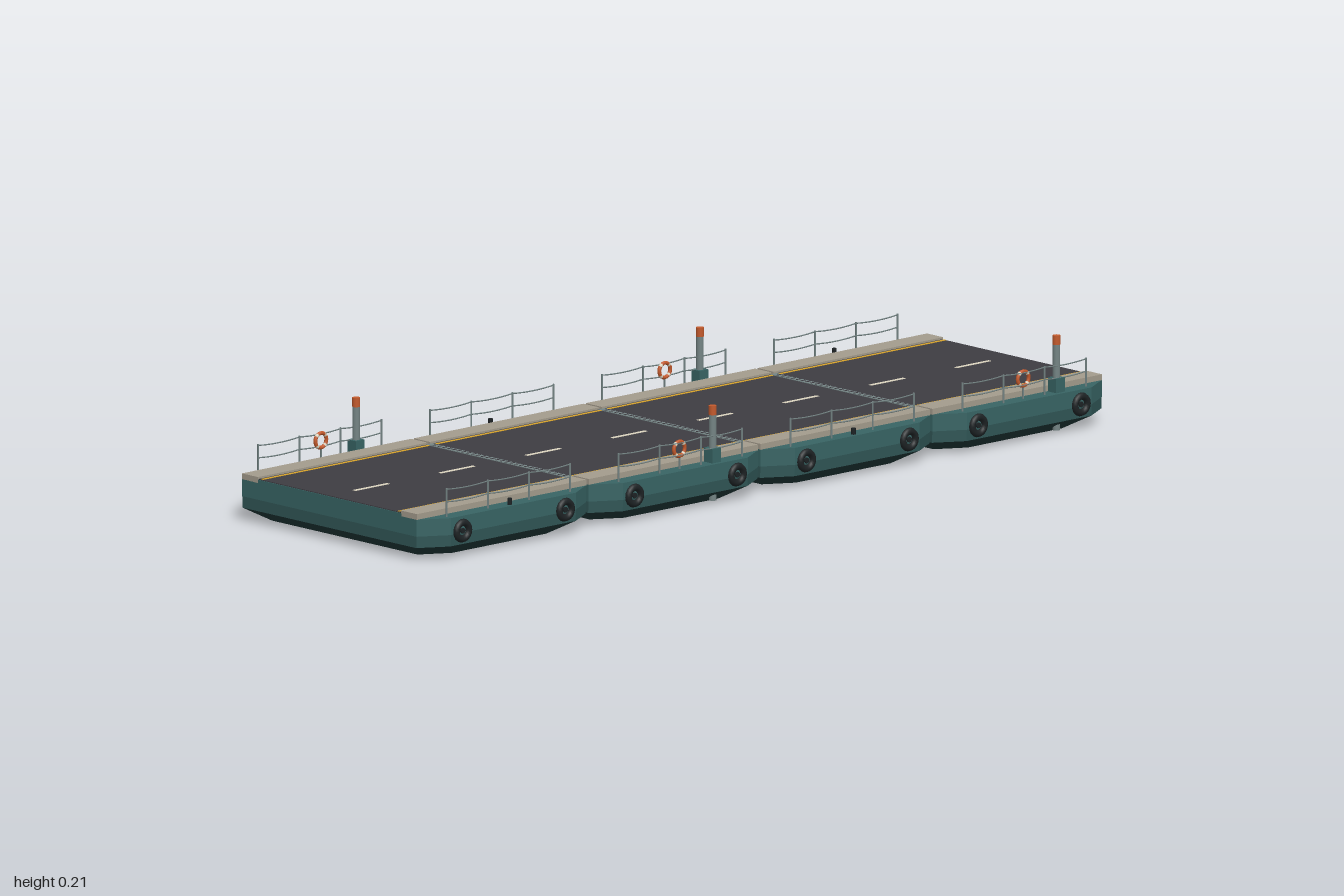
import * as THREE from 'three';

const mat = (name, color) => {
  const m = new THREE.MeshStandardMaterial({ color });
  m.name = name;
  return m;
};

export function createModel() {
  const hullTeal = mat('hull teal', 0x386464);
  const midTeal = mat('lower hull teal', 0x305656);
  const bottomPaint = mat('bottom paint', 0x1e3636);
  const asphalt = mat('asphalt', 0x3e3c42);
  const concrete = mat('walkway concrete', 0xa39b8c);
  const steel = mat('steel', 0x748484);
  const orange = mat('safety orange', 0xc45a2c);
  const rubber = mat('rubber', 0x1d2224);
  const yellow = mat('edge line yellow', 0xd9a52c);
  const cream = mat('lane line cream', 0xdcd5c0);

  const L = 0.4945, H = L / 2; // one pontoon's length

  const add = (parent, name, geo, material, x = 0, y = 0, z = 0) => {
    const m = new THREE.Mesh(geo, material);
    m.name = name;
    m.position.set(x, y, z);
    parent.add(m);
    return m;
  };
  const box = (parent, name, material, w, h, d, x, y, z) =>
    add(parent, name, new THREE.BoxGeometry(w, h, d), material, x, y, z);

  // Octagonal plan outline at height y: half width w, half length l
  const ring = (y, w, l, cx = 0.038, cz = 0.065) => [
    [w, l - cz], [w, cz - l], [w - cx, -l], [cx - w, -l],
    [-w, cz - l], [-w, l - cz], [cx - w, l], [w - cx, l],
  ].map(([x, z]) => new THREE.Vector3(x, y, z));

  // Faceted band between two outlines, with optional flat caps
  const band = (lo, hi, capLow, capHigh) => {
    const p = [];
    const tri = (...v) => v.forEach((q) => p.push(q.x, q.y, q.z));
    const n = lo.length;
    for (let i = 0; i < n; i++) {
      const j = (i + 1) % n;
      tri(lo[i], lo[j], hi[j]);
      tri(lo[i], hi[j], hi[i]);
      if (i > 0 && i < n - 1) {
        if (capHigh) tri(hi[0], hi[i], hi[j]);
        if (capLow) tri(lo[0], lo[j], lo[i]);
      }
    }
    const g = new THREE.BufferGeometry();
    g.setAttribute('position', new THREE.Float32BufferAttribute(p, 3));
    g.computeVertexNormals();
    return g;
  };

  const r0 = ring(0.002, 0.265, H - 0.045);
  const r1 = ring(0.03, 0.309, H);
  const r2 = ring(0.055, 0.31, H);
  const r3 = ring(0.092, 0.31, H);

  // Rope hung between two posts
  const rope = (z0, z1, y, sag) => new THREE.TubeGeometry(
    new THREE.QuadraticBezierCurve3(
      new THREE.Vector3(0, y, z0),
      new THREE.Vector3(0, y - 2 * sag, (z0 + z1) / 2),
      new THREE.Vector3(0, y, z1)), 8, 0.0015, 5);

  const makeRailing = () => {
    const g = new THREE.Group();
    g.name = 'railing';
    const n = 3, span = 0.36;
    for (let i = 0; i <= n; i++) {
      const z = -span / 2 + (span * i) / n;
      add(g, 'railPost', new THREE.CylinderGeometry(0.0022, 0.0022, 0.063, 6), steel, 0, 0.123, z);
      if (i < n) {
        for (const y of [0.152, 0.125]) add(g, 'railRope', rope(z, z + span / n, y, 0.003), steel);
      }
    }
    return g;
  };

  // Tyre fender with its hub, axis along x
  const makeFender = () => {
    const g = new THREE.Group();
    g.name = 'fender';
    add(g, 'tyre', new THREE.TorusGeometry(0.018, 0.008, 8, 18), rubber).rotation.y = Math.PI / 2;
    add(g, 'tyreHub', new THREE.CylinderGeometry(0.006, 0.006, 0.006, 10), rubber).rotation.z = Math.PI / 2;
    return g;
  };

  // Mooring pile with collar and painted top
  const makePile = () => {
    const g = new THREE.Group();
    g.name = 'mooringPile';
    add(g, 'pileShaft', new THREE.CylinderGeometry(0.008, 0.008, 0.188, 14), steel, 0, 0.102, 0);
    add(g, 'pileCap', new THREE.CylinderGeometry(0.0085, 0.0085, 0.02, 14), orange, 0, 0.205, 0);
    box(g, 'pileCollar', hullTeal, 0.026, 0.032, 0.026, 0, 0.107, 0);
    return g;
  };

  const makePontoon = (pileSide) => {
    const g = new THREE.Group();
    g.name = 'pontoon';
    add(g, 'hullBottom', band(r0, r1, true, false), bottomPaint);
    add(g, 'hullLowerSide', band(r1, r2, false, false), midTeal);
    add(g, 'hullUpperSide', band(r2, r3, false, true), hullTeal);

    // Roadway and markings
    box(g, 'roadBase', hullTeal, 0.45, 0.007, L, 0, 0.095, 0);
    box(g, 'roadSurface', asphalt, 0.448, 0.002, L - 0.004, 0, 0.0992, 0);
    for (const s of [-1, 1]) {
      box(g, 'laneDash', cream, 0.009, 0.001, 0.1, 0, 0.1006, s * 0.125);
      box(g, 'edgeLine', yellow, 0.007, 0.001, L - 0.006, s * 0.213, 0.1006, 0);
    }

    for (const s of [-1, 1]) {
      box(g, 'walkway', concrete, 0.05, 0.013, L, s * 0.248, 0.098, 0);
      const rail = makeRailing();
      rail.position.x = s * 0.294;
      g.add(rail);
      for (const e of [-1, 1]) {
        const f = makeFender();
        f.position.set(s * 0.311, 0.06, e * 0.15);
        g.add(f);
      }
    }

    // Pile and life ring on one side, bollard on the other
    const pile = makePile();
    pile.position.set(pileSide * 0.288, 0, -0.1);
    g.add(pile);
    const lifeRing = new THREE.Group();
    lifeRing.name = 'lifeRing';
    lifeRing.position.set(pileSide * 0.291, 0.136, 0);
    lifeRing.rotation.y = Math.PI / 2;
    add(lifeRing, 'ringBody', new THREE.TorusGeometry(0.016, 0.0042, 8, 20), orange);
    for (let i = 0; i < 4; i++) {
      const arc = add(lifeRing, 'ringBand', new THREE.TorusGeometry(0.016, 0.0046, 8, 3, 0.35), cream);
      arc.rotation.z = i * Math.PI / 2 + Math.PI / 4 - 0.175;
    }
    g.add(lifeRing);
    box(g, 'ringPost', steel, 0.003, 0.03, 0.003, pileSide * 0.291, 0.105, 0);
    add(g, 'bollard', new THREE.CylinderGeometry(0.005, 0.005, 0.014, 10), rubber, -pileSide * 0.298, 0.099, 0);
    return g;
  };

  const model = new THREE.Group();
  model.name = 'pontoonBridge';
  const step = (2 - L) / 3;
  for (let i = 0; i < 4; i++) {
    const p = makePontoon(i % 2 ? -1 : 1);
    p.position.z = -1 + H + i * step;
    model.add(p);
  }

  // Toothed expansion joints bridging the gaps
  for (let i = 0; i < 3; i++) {
    const joint = new THREE.Group();
    joint.name = 'expansionJoint';
    joint.position.z = -1 + H + (i + 0.5) * step;
    box(joint, 'jointPlate', steel, 0.44, 0.006, 0.018, 0, 0.0985, 0);
    for (let k = 0; k < 28; k++) {
      box(joint, 'jointGap', asphalt, 0.004, 0.001, 0.012, -0.2025 + k * 0.015, 0.1018, 0);
    }
    model.add(joint);
  }
  return model;
}
